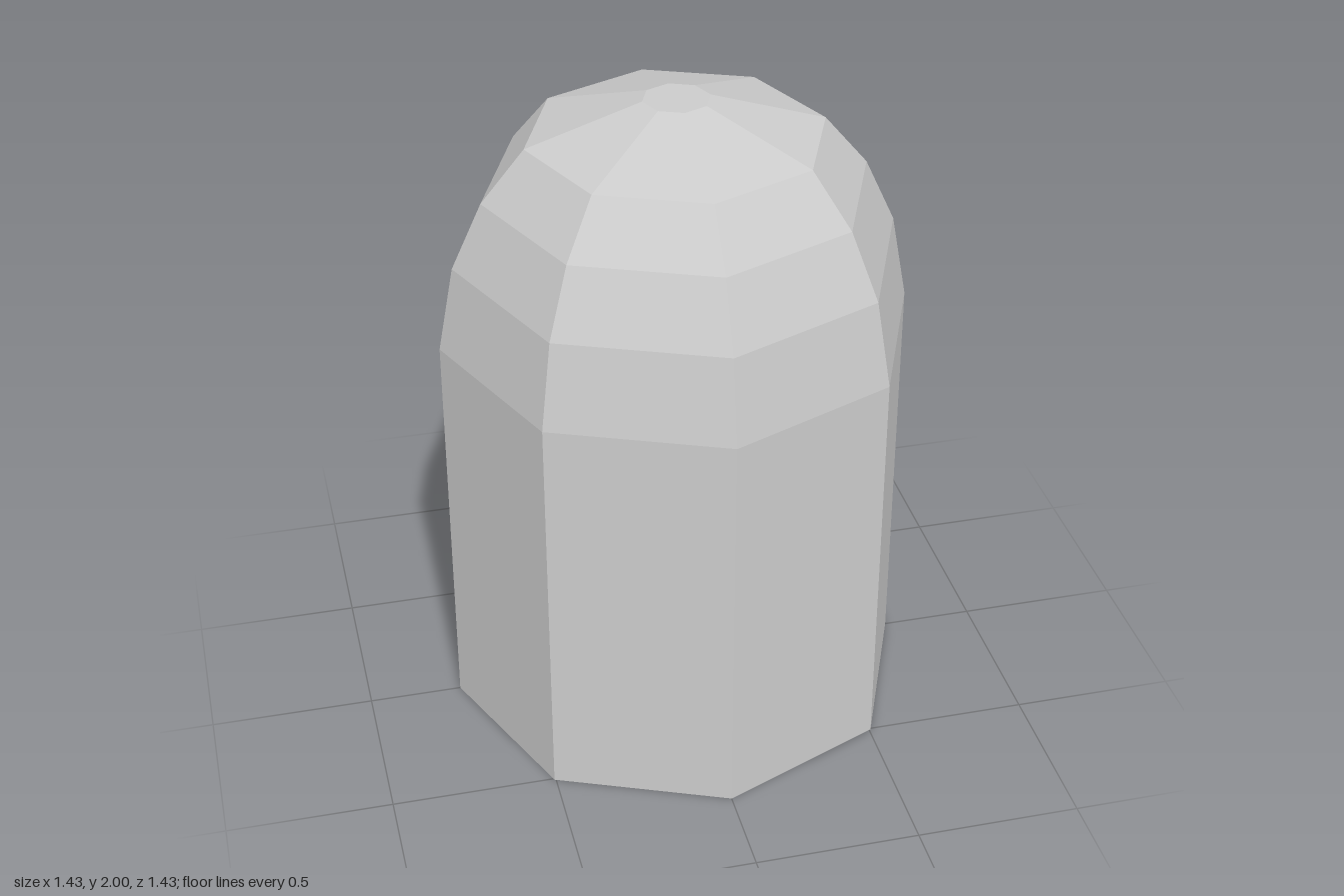
import * as THREE from 'three';

const SIDES = 8;
const RADIUS = 0.714;
const SHOULDER = 1.27;

export function createModel() {
  const model = new THREE.Group();
  const material = new THREE.MeshStandardMaterial({ color: 0xcccccc, flatShading: true });

  // Revolve a bottom-to-top [radius, height] profile into an eight-sided solid
  function addPart(name, profile) {
    const points = profile.map(([r, y]) => new THREE.Vector2(r, y));
    const mesh = new THREE.Mesh(new THREE.LatheGeometry(points, SIDES), material);
    mesh.name = name;
    model.add(mesh);
  }

  // Straight shaft with a closed base
  addPart('body', [[0, 0], [RADIUS, 0], [RADIUS, SHOULDER]]);

  // Faceted dome ending in a small flat cap
  addPart('dome', [
    [RADIUS, SHOULDER],
    [0.665, 1.533],
    [0.573, 1.733],
    [0.443, 1.89],
    [0.1, 2],
    [0, 2],
  ]);

  return model;
}
